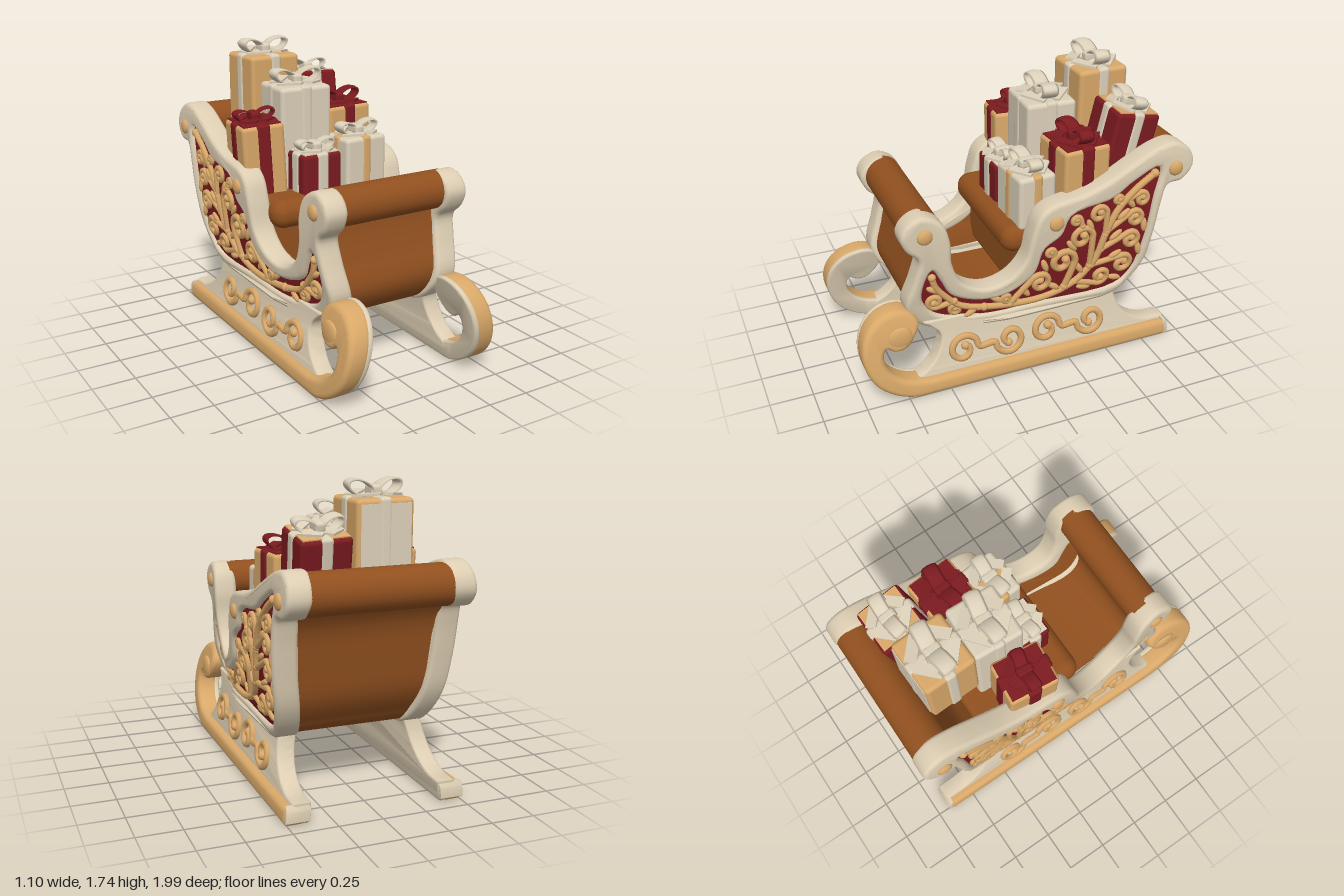
import * as THREE from 'three';
import { mergeVertices, toCreasedNormals } from 'three/addons/utils/BufferGeometryUtils.js';
import { RoundedBoxGeometry } from 'three/addons/geometries/RoundedBoxGeometry.js';

const mat = (name, color) => {
  const m = new THREE.MeshStandardMaterial({ color });
  m.name = name;
  return m;
};

export function createModel() {
  const cream = mat('cream', 0xdccdb2), gold = mat('gold', 0xd9a869), red = mat('red', 0x7c1b20);
  const brown = mat('brown', 0x91501f), paper = mat('white paper', 0xdcd0b9);
  const model = new THREE.Group();

  const add = (name, geo, material, parent = model) => {
    const m = new THREE.Mesh(geo, material);
    m.name = name;
    parent.add(m);
    return m;
  };
  // Adds a part on the left (+x) and its mirror image on the right
  const addPair = (name, geo, material) => {
    add(name + 'Left', geo, material);
    const g = geo.clone().scale(-1, 1, 1);
    const old = g.index ? g.index.array : [...Array(g.attributes.position.count).keys()];
    const idx = [];
    for (let i = 0; i < old.length; i += 3) idx.push(old[i], old[i + 2], old[i + 1]);
    g.setIndex(idx);
    add(name + 'Right', g, material);
  };

  // Outer surface of the bulging body and of the splayed runners, as x(z, y)
  const bodyX = (z, y) => 0.53 - 0.2 * (y - 1) ** 2 - 0.075 * THREE.MathUtils.smoothstep(z, 0.1, 0.65);
  const runnerX = (z, y) => 0.52 - 0.06 * y - 0.22 * y * y;
  const offset = (f, d) => (z, y) => f(z, y) - d;

  const smooth = (pts, n, closed = true) =>
    new THREE.CatmullRomCurve3(pts.map(([z, y]) => new THREE.Vector3(z, y, 0)), closed)
      .getPoints(n).slice(0, closed ? -1 : undefined).map(p => [p.x, p.y]);
  const toVec = pts => pts.map(([z, y]) => new THREE.Vector2(-z, y));
  const warp = (geo, fn) => {
    const p = geo.attributes.position;
    for (let i = 0; i < p.count; i++) p.setX(i, fn(p.getX(i), p.getY(i), p.getZ(i)));
    return geo;
  };
  // Side-profile slab of thickness t whose outer face follows xf
  const slab = (pts, t, bevel, xf, hole) => {
    const shape = new THREE.Shape(toVec(pts));
    if (hole) shape.holes.push(new THREE.Path(toVec(hole)));
    const g = new THREE.ExtrudeGeometry(shape, {
      depth: t - 2 * bevel, bevelEnabled: bevel > 0, bevelSize: bevel, bevelThickness: bevel,
      bevelOffset: -bevel, bevelSegments: 4, steps: 1
    }).rotateY(Math.PI / 2);
    warp(g, (x, y, z) => xf(z, y) - t + bevel + x);
    return toCreasedNormals(g, 0.7);
  };
  // Finely divided face so that a flat shape can follow the bulge
  const skin = (pts, xf) => {
    const tris = new THREE.ShapeGeometry(new THREE.Shape(toVec(pts))).rotateY(Math.PI / 2).toNonIndexed();
    let a = Array.from(tris.attributes.position.array);
    for (let level = 0; level < 3; level++) {
      const out = [];
      for (let i = 0; i < a.length; i += 9) {
        const A = a.slice(i, i + 3), B = a.slice(i + 3, i + 6), C = a.slice(i + 6, i + 9);
        const mid = (p, q) => p.map((v, k) => (v + q[k]) / 2);
        const ab = mid(A, B), bc = mid(B, C), ca = mid(C, A);
        out.push(...A, ...ab, ...ca, ...ab, ...B, ...bc, ...ca, ...bc, ...C, ...ab, ...bc, ...ca);
      }
      a = out;
    }
    let g = new THREE.BufferGeometry();
    g.setAttribute('position', new THREE.Float32BufferAttribute(a, 3));
    g = mergeVertices(warp(g, (x, y, z) => xf(z, y)));
    g.computeVertexNormals();
    return g;
  };

  // Body sides: cream scrolled rim, red panel, brown lining
  const rim = smooth([[0.66, 0.43], [0.72, 0.55], [0.67, 0.73], [0.645, 0.86], [0.71, 0.93], [0.74, 1.02], [0.70, 1.09],
    [0.61, 1.125], [0.51, 1.07], [0.468, 0.95], [0.46, 0.81], [0.40, 0.67], [0.27, 0.61], [0.14, 0.65], [0.05, 0.75],
    [0.01, 0.91], [-0.03, 1.02], [-0.10, 1.075], [-0.30, 1.11], [-0.45, 1.16], [-0.61, 1.24], [-0.76, 1.305], [-0.88, 1.32],
    [-0.97, 1.26], [-0.99, 1.17], [-0.92, 1.085], [-0.83, 1.07], [-0.80, 0.98], [-0.77, 0.78], [-0.73, 0.57], [-0.64, 0.42],
    [-0.54, 0.345], [-0.3, 0.33], [0.3, 0.33], [0.56, 0.355]], 150);
  const panel = smooth([[0.57, 0.78], [0.62, 0.67], [0.62, 0.57], [0.55, 0.47], [0.41, 0.42], [-0.05, 0.42], [-0.55, 0.42],
    [-0.65, 0.51], [-0.71, 0.73], [-0.745, 1.0], [-0.775, 1.19], [-0.61, 1.13], [-0.48, 1.05], [-0.23, 0.995], [-0.17, 0.88],
    [-0.07, 0.81], [-0.02, 0.66], [0.12, 0.555], [0.30, 0.53], [0.46, 0.59], [0.52, 0.70]], 90);
  addPair('sideRim', slab(rim, 0.14, 0.026, bodyX, panel), cream);
  addPair('sidePanel', skin(panel, offset(bodyX, 0.025)), red);
  addPair('sideLining', slab(panel, 0.02, 0, offset(bodyX, 0.1)), brown);

  // Brown front, floor and back as one bent sheet
  const sheet = [[0.60, 1.0], [0.61, 0.86], [0.64, 0.73], [0.685, 0.55], [0.63, 0.43], [0.54, 0.365], [0.3, 0.345],
    [-0.3, 0.345], [-0.53, 0.36], [-0.61, 0.44], [-0.70, 0.58], [-0.74, 0.78], [-0.78, 0.99], [-0.86, 1.12]];
  const inner = [[-0.77, 1.17], [-0.71, 0.99], [-0.68, 0.78], [-0.64, 0.6], [-0.56, 0.47], [-0.46, 0.41], [0.46, 0.41],
    [0.58, 0.47], [0.62, 0.56], [0.58, 0.73], [0.55, 0.86], [0.54, 1.0]];
  const sheetShape = new THREE.Shape(toVec([...smooth(sheet, 50, false), ...smooth(inner, 50, false)]));
  const sheetGeo = new THREE.ExtrudeGeometry(sheetShape, { depth: 1, bevelEnabled: false })
    .translate(0, 0, -0.5).rotateY(Math.PI / 2);
  warp(sheetGeo, (x, y, z) => Math.sign(x) * (bodyX(z, y) - 0.08));
  add('bodySheet', toCreasedNormals(sheetGeo, 0.7), brown);

  const roll = (name, r, len, y, z) =>
    add(name, new THREE.CylinderGeometry(r, r, len, 32).rotateZ(Math.PI / 2).translate(0, y, z), brown);
  roll('frontRoll', 0.108, 0.72, 1.015, 0.605);
  roll('backRoll', 0.115, 0.86, 1.195, -0.87);
  add('seat', new RoundedBoxGeometry(0.82, 0.44, 0.6, 4, 0.04).translate(0, 0.66, -0.26), brown);
  add('seatCushionEdge', new RoundedBoxGeometry(0.82, 0.17, 0.3, 5, 0.08).translate(0, 0.825, -0.02), brown);

  // Gold rosettes on the scrolls
  for (const [z, y] of [[0.61, 1.01], [-0.13, 0.97], [-0.87, 1.17]])
    addPair('rosette', new THREE.SphereGeometry(0.045, 16, 10).scale(0.45, 1, 1).translate(bodyX(z, y), y, z), gold);

  // Runners: gold rail with a curled front, cream inner face, heel and skirt
  const curl = smooth([[0.62, 0.002], [0.72, 0.005], [0.85, 0.06], [0.95, 0.16], [0.997, 0.31], [0.97, 0.44], [0.89, 0.525],
    [0.78, 0.553], [0.70, 0.53], [0.655, 0.46], [0.69, 0.38], [0.75, 0.325], [0.81, 0.32], [0.855, 0.345], [0.875, 0.31],
    [0.865, 0.24], [0.82, 0.175], [0.74, 0.125], [0.62, 0.10]], 70, false);
  const rail = [[-0.90, 0], ...curl, [-0.90, 0.10], [-0.915, 0.08], [-0.915, 0.02]];
  addPair('runnerRail', slab(rail, 0.13, 0.03, runnerX), gold);
  addPair('runnerInnerFace', slab(rail, 0.04, 0.015, offset(runnerX, 0.105)), cream);
  addPair('runnerHeel', slab([[-0.89, 0.008], [-0.89, 0.108], [-0.905, 0.108], [-0.925, 0.08], [-0.925, 0.02], [-0.905, 0.008]],
    0.135, 0.004, offset(runnerX, 0.006)), cream);
  addPair('curlEye', new THREE.SphereGeometry(0.075, 20, 12).scale(0.3, 1, 1)
    .translate(runnerX(0, 0.4) - 0.008, 0.395, 0.775), gold);
  const skirt = [...smooth([[-0.91, 0.115], [-0.78, 0.125], [-0.66, 0.19], [-0.595, 0.28], [-0.56, 0.42]], 20, false),
    ...smooth([[0.62, 0.43], [0.53, 0.34], [0.56, 0.22], [0.63, 0.14], [0.72, 0.09]], 20, false), [0.7, 0.04], [-0.91, 0.04]];
  addPair('runnerSkirt', slab(skirt, 0.105, 0.015, offset(runnerX, 0.042)), cream);

  // Gold scrollwork: rods laid on a surface and finished with a bead
  const rod = (name, pts, r, xf) => {
    const path = new THREE.CatmullRomCurve3(pts.map(([z, y]) => new THREE.Vector3(xf(z, y), y, z)));
    addPair(name, new THREE.TubeGeometry(path, pts.length * 3, r, 7), gold);
    for (const [z, y] of [pts[0], pts[pts.length - 1]])
      addPair(name + 'Bead', new THREE.SphereGeometry(r * 1.25, 10, 8).translate(xf(z, y), y, z), gold);
  };
  const spiral = (z, y, r, a0, turn, n = 14) => Array.from({ length: n + 1 }, (_, i) => {
    const a = a0 + turn * i / n, q = r * (1 - 0.72 * i / n);
    return [z + q * Math.cos(a), y + q * Math.sin(a)];
  });

  // S-scrolls on the skirts
  for (const z of [0.405, -0.115]) {
    const first = spiral(z, 0.22, 0.097, Math.PI, -7.4).reverse();
    const second = spiral(z - 0.29, 0.22, 0.097, 0, -7.4);
    rod('skirtScroll', [...first, ...second], 0.021, offset(runnerX, 0.04));
  }

  // Vines on the red panels: main stems, then branches [start, centre, radius, direction]
  const vineX = offset(bodyX, 0.02);
  rod('mainVine', [[0.27, 0.47], [0.1, 0.455], [-0.1, 0.455], [-0.28, 0.52], [-0.40, 0.66], [-0.45, 0.82], [-0.52, 0.97],
    [-0.63, 1.08], [-0.745, 1.155]], 0.021, vineX);
  rod('frontVine', [[0.27, 0.47], [0.40, 0.5], [0.49, 0.58], [0.55, 0.66], [0.57, 0.73]], 0.019, vineX);
  const branches = [[0.12, 0.46, -0.06, 0.57, 0.07, 1], [-0.22, 0.5, -0.19, 0.69, 0.085, -1], [-0.37, 0.62, -0.30, 0.83, 0.075, -1],
    [-0.45, 0.82, -0.40, 0.965, 0.055, -1], [-0.28, 0.52, -0.45, 0.52, 0.06, -1], [-0.38, 0.62, -0.585, 0.58, 0.065, 1],
    [-0.43, 0.72, -0.62, 0.745, 0.06, 1], [-0.46, 0.84, -0.635, 0.89, 0.055, 1], [-0.54, 1.0, -0.67, 1.01, 0.045, 1],
    [0.30, 0.47, 0.43, 0.475, 0.04, -1], [0.44, 0.54, 0.55, 0.555, 0.05, 1], [0.02, 0.45, 0.14, 0.51, 0.03, 1],
    [-0.14, 0.69, -0.11, 0.77, 0.03, -1], [-0.3, 0.91, -0.26, 0.95, 0.03, -1], [-0.51, 0.95, -0.52, 1.03, 0.03, -1]];
  for (const [sz, sy, cz, cy, r, dir] of branches) {
    const a0 = Math.atan2(sy - cy, sz - cz) + dir * 0.9;
    rod('vineBranch', [[sz, sy], ...spiral(cz, cy, r, a0, dir * 7.5)], 0.012 + r * 0.1, vineX);
  }
  // Leaves [z, y, angle]
  for (const [z, y, a] of [[-0.24, 0.79, 0.9], [-0.35, 0.9, 1.2], [-0.30, 0.62, 1], [-0.53, 0.66, -0.4], [-0.52, 0.8, -0.6],
    [-0.56, 0.93, -0.7], [-0.6, 1.0, 1], [0.2, 0.515, 0.6], [0.34, 0.44, 2.6], [0.56, 0.64, 0.5], [-0.35, 0.46, 0.2],
    [-0.68, 0.67, 1.4], [-0.7, 0.83, 1.5], [-0.08, 0.69, 1.2], [-0.55, 0.48, 0.3], [-0.15, 0.52, 0.6], [0.03, 0.53, 0.9]])
    addPair('leaf', new THREE.SphereGeometry(1, 10, 8).scale(0.015, 0.019, 0.048).rotateX(-a).translate(vineX(z, y), y, z), gold);

  // Gifts: box, coloured top, crossed ribbons and a bow of wide loops with tails
  const gift = (name, [x, y, z], [w, h, d], boxMat, topMat, ribbonMat, bowMat, [rx, ry, rz], rw = 0.07) => {
    const g = new THREE.Group();
    g.name = name;
    add('box', new RoundedBoxGeometry(w, h, d, 3, 0.025).translate(0, -h / 2, 0), boxMat, g);
    if (topMat !== boxMat) add('topPaper', new THREE.BoxGeometry(w - 0.03, 0.008, d - 0.03), topMat, g);
    add('ribbonAcross', new RoundedBoxGeometry(w + 0.014, h + 0.014, rw, 2, 0.02).translate(0, -h / 2, 0), ribbonMat, g);
    add('ribbonAlong', new RoundedBoxGeometry(rw, h + 0.014, d + 0.014, 2, 0.02).translate(0, -h / 2, 0), ribbonMat, g);
    const s = w / 0.33;
    for (const side of [-1, 1]) {
      const loop = add('bowLoop', new THREE.TorusGeometry(0.05, 0.009, 8, 24).scale(1.45, 0.75, 5.5), bowMat, g);
      loop.position.set(side * 0.08 * s, 0.045 * s, 0);
      loop.rotation.set(0, -side * 0.12, side * 0.35);
      loop.scale.setScalar(s);
      for (const end of [-1, 1]) {
        const tail = add('bowTail', new THREE.BoxGeometry(0.15, 0.012, 0.065), bowMat, g);
        tail.position.set(side * 0.07 * s, 0.014, end * 0.075 * s);
        tail.rotation.set(0, side * end * 0.75, -side * 0.1);
        tail.scale.set(s, 1, s);
      }
    }
    add('bowKnot', new RoundedBoxGeometry(0.06, 0.06, 0.1, 2, 0.02).translate(0, 0.03, 0), bowMat, g);
    g.position.set(x, y, z);
    g.rotation.set(rx, ry, rz);
    model.add(g);
    return g;
  };
  const tall = gift('tallBackGift', [-0.09, 1.64, -0.62], [0.33, 0.45, 0.31], gold, gold, paper, paper, [0, 0.04, 0]);
  add('backPaper', new THREE.BoxGeometry(0.29, 0.4, 0.008).translate(0, -0.225, -0.155), paper, tall);
  gift('whiteGift', [-0.05, 1.5, -0.29], [0.33, 0.64, 0.3], paper, paper, paper, paper, [0, -0.04, 0]);
  gift('redBackGift', [0.25, 1.48, -0.69], [0.29, 0.5, 0.28], red, gold, paper, paper, [-0.2, 0.04, -0.04]);
  gift('rightGoldGift', [0.275, 1.34, -0.35], [0.31, 0.48, 0.29], gold, red, red, red, [0, 0.08, 0], 0.085);
  gift('leftGoldGift', [-0.355, 1.315, -0.24], [0.26, 0.46, 0.3], gold, red, red, red, [0, -0.1, 0.05], 0.085);
  gift('smallRedGift', [-0.06, 1.14, -0.05], [0.26, 0.27, 0.2], red, paper, paper, paper, [0, 0.03, 0], 0.08);
  gift('smallWhiteGift', [0.24, 1.2, -0.07], [0.29, 0.32, 0.23], paper, paper, gold, paper, [0, 0.08, 0], 0.06);

  return model;
}
